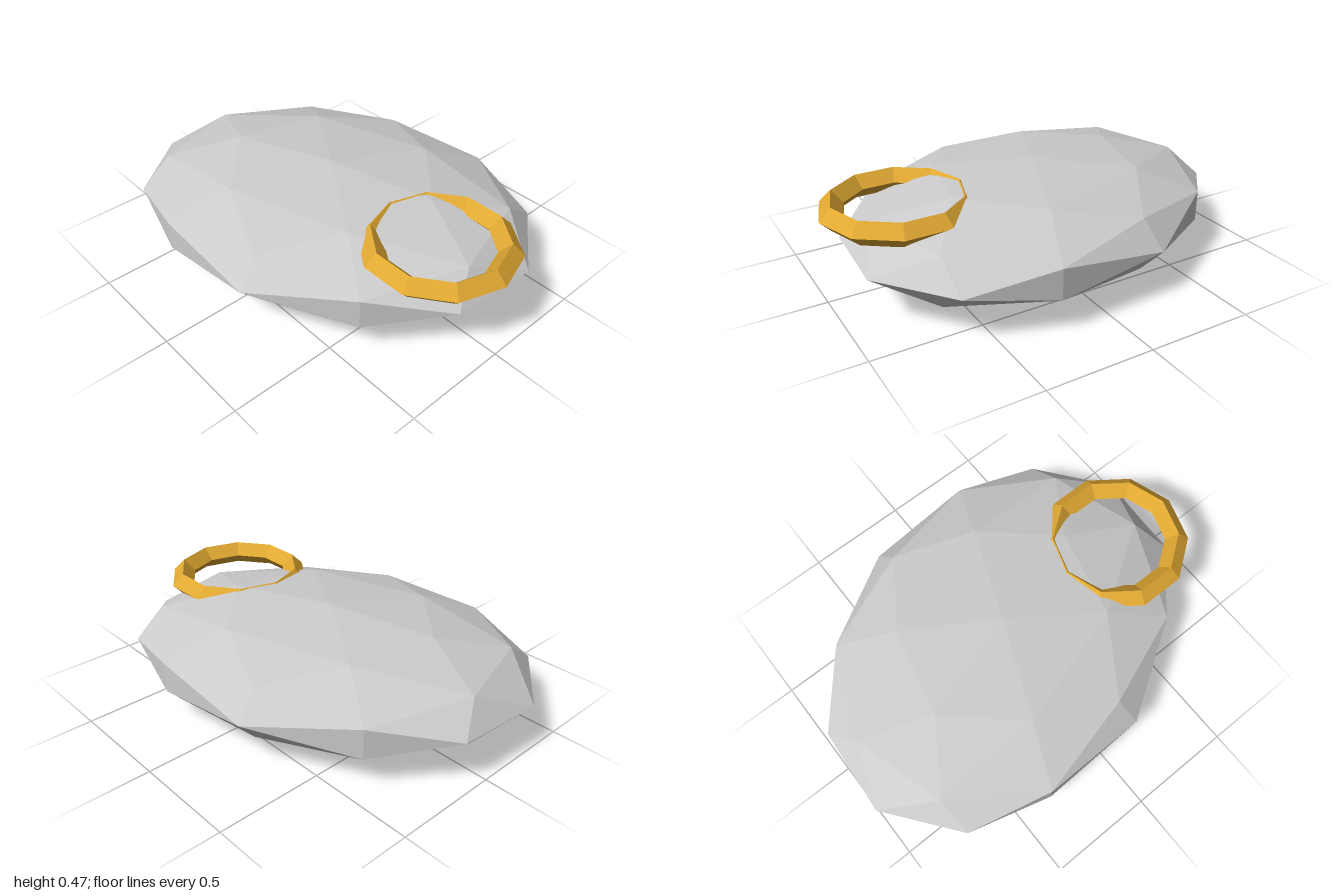
import * as THREE from 'three';

export function createModel() {
  const model = new THREE.Group();
  model.name = 'ringedPebble';

  // Flattened, faceted body, turned slightly about the vertical
  const body = new THREE.Mesh(
    new THREE.IcosahedronGeometry(1, 1),
    new THREE.MeshStandardMaterial({ color: 0xcccccc, flatShading: true })
  );
  body.name = 'body';
  body.scale.set(1, 0.235, 0.75);
  body.rotation.y = 0.3;
  body.position.set(-0.045, 0.235, 0);
  model.add(body);

  // Level gold ring with a diamond section, sunk into one end of the body
  const ring = new THREE.Mesh(
    new THREE.TorusGeometry(0.3, 0.056, 4, 10),
    new THREE.MeshStandardMaterial({ color: 0xe0a832, flatShading: true })
  );
  ring.name = 'ring';
  ring.rotation.x = Math.PI / 2;
  ring.position.set(0.644, 0.388, 0);
  model.add(ring);

  return model;
}
